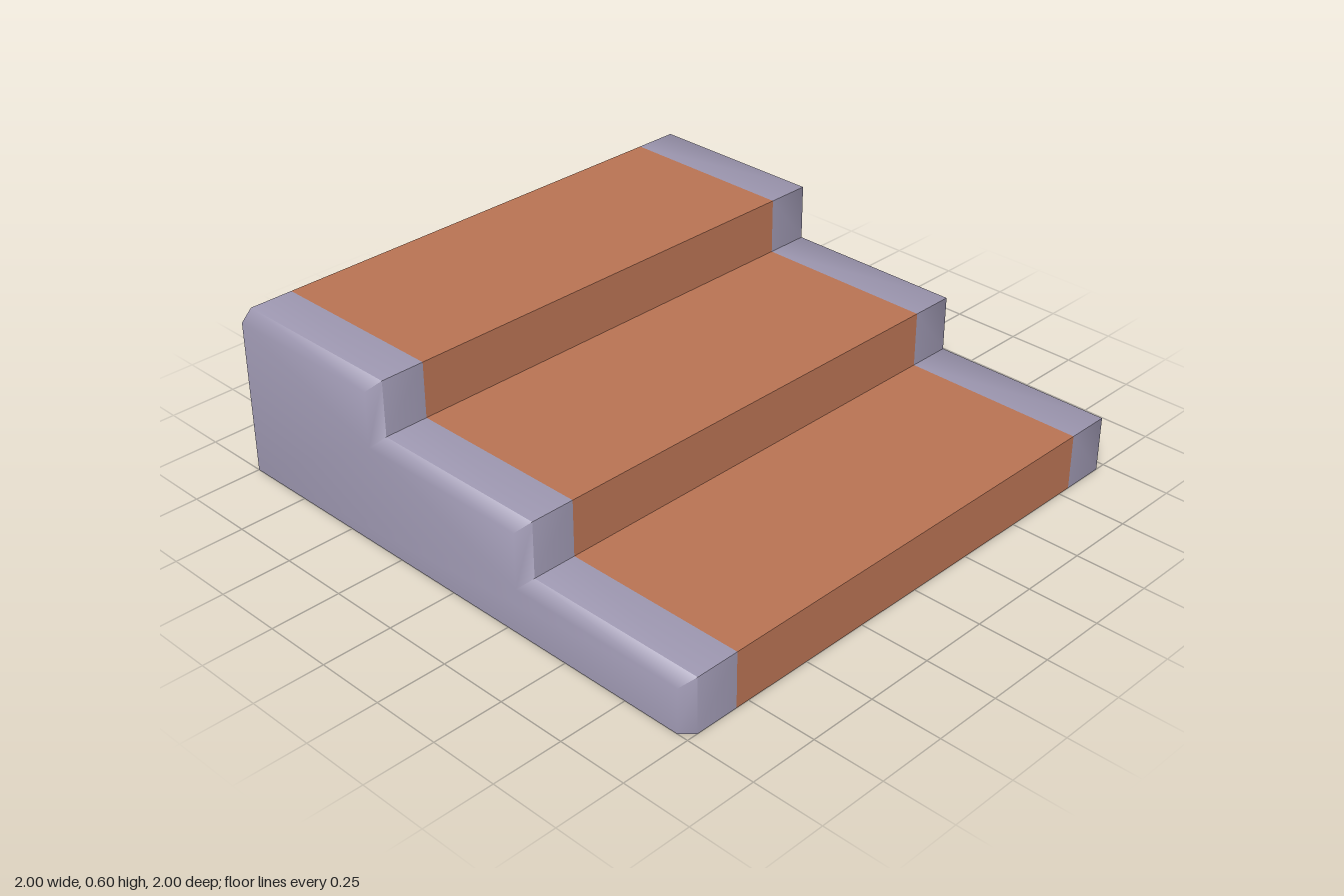
import * as THREE from 'three';
import { toCreasedNormals } from 'three/addons/utils/BufferGeometryUtils.js';

const STEPS = 3, RISE = 0.2, RUN = 2 / 3, BEVEL = 0.04;

// Staircase outline as [z, y], inset on treads and risers only
function outline(inset) {
  const pts = [];
  for (let i = 0; i < STEPS; i++) {
    const z = 1 - i * RUN - inset;
    pts.push([z, i === 0 ? 0 : i * RISE - inset], [z, (i + 1) * RISE - inset]);
  }
  pts.push([-1, STEPS * RISE - inset], [-1, 0]);
  return pts;
}

// Skin between sections { x, pts } in order of x; side = -1 mirrors it
function loft(sections, side, capped) {
  const pos = [];
  const tri = (a, b, c) => {
    for (const p of side < 0 ? [a, c, b] : [a, b, c]) pos.push(p[0] * side, p[1], p[2]);
  };
  const at = (s, i) => {
    const p = s.pts[i % s.pts.length];
    return [s.x, p[1], p[0]];
  };
  for (let k = 0; k + 1 < sections.length; k++) {
    const a = sections[k], b = sections[k + 1];
    for (let i = 0; i < a.pts.length; i++) {
      tri(at(a, i), at(b, i), at(a, i + 1));
      tri(at(b, i), at(b, i + 1), at(a, i + 1));
    }
  }
  if (capped) {
    const end = sections[sections.length - 1];
    const contour = end.pts.map(([z, y]) => new THREE.Vector2(z, y));
    for (const [i, j, k] of THREE.ShapeUtils.triangulateShape(contour, [])) {
      tri(at(end, i), at(end, k), at(end, j));
    }
  }
  const geo = new THREE.BufferGeometry();
  geo.setAttribute('position', new THREE.Float32BufferAttribute(pos, 3));
  return toCreasedNormals(geo, 1.1);
}

export function createModel() {
  const model = new THREE.Group();
  model.name = 'stairs';
  const terracotta = new THREE.MeshStandardMaterial({ color: 0xb87253 });
  terracotta.name = 'terracotta';
  const stone = new THREE.MeshStandardMaterial({ color: 0x9b95ae });
  stone.name = 'greyStone';

  const add = (name, geo, mat) => {
    const mesh = new THREE.Mesh(geo, mat);
    mesh.name = name;
    model.add(mesh);
  };
  const full = outline(0), inner = outline(BEVEL);

  // Wide middle flight
  add('treads', loft([{ x: -0.8, pts: full }, { x: 0.8, pts: full }], 1, false), terracotta);

  // Stone borders with softened outer edges
  for (const [name, side] of [['leftBorder', 1], ['rightBorder', -1]]) {
    const sections = [{ x: 0.8, pts: full }, { x: 1 - BEVEL, pts: full }, { x: 1, pts: inner }];
    add(name, loft(sections, side, true), stone);
  }
  return model;
}
